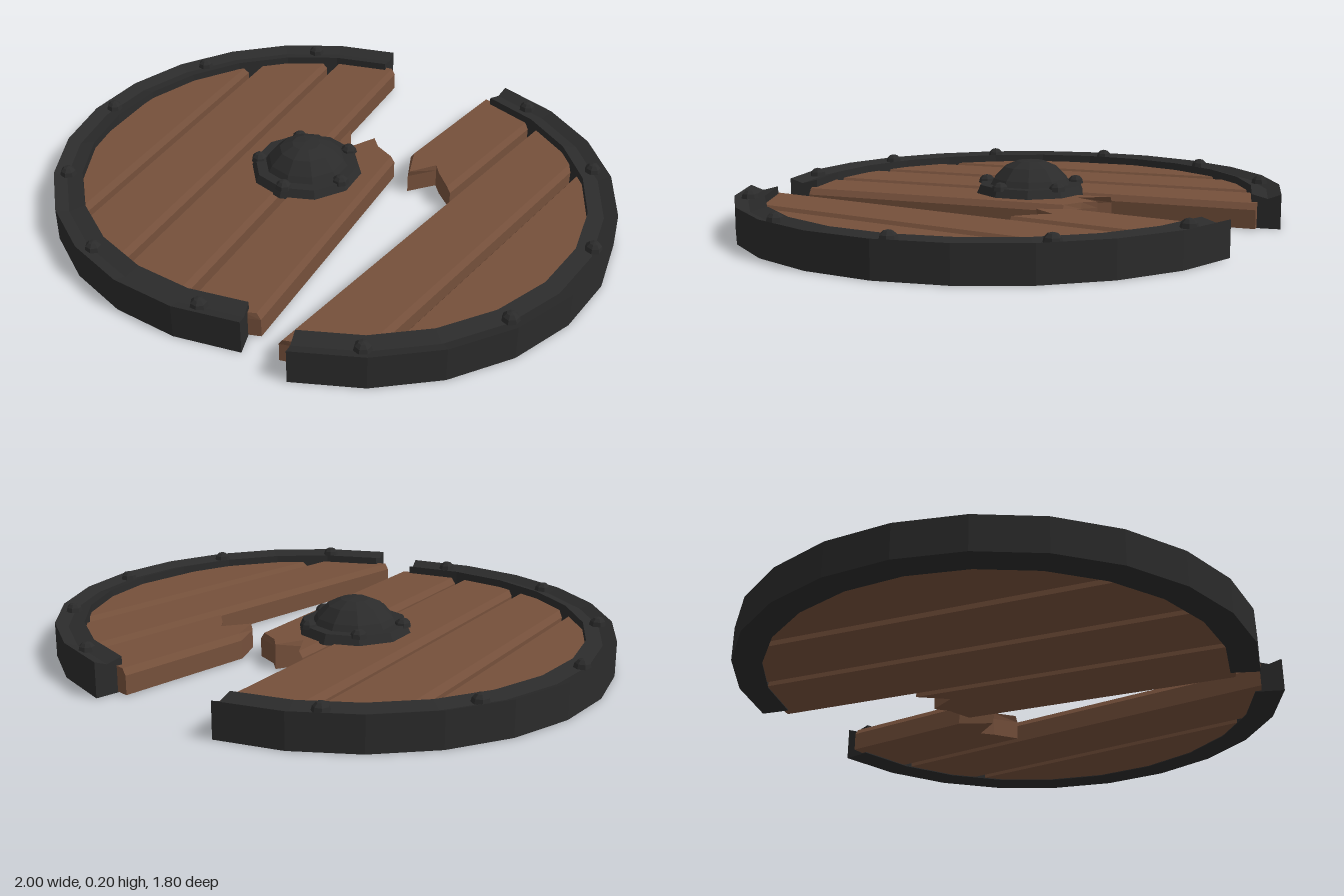
import * as THREE from 'three';

const metal = new THREE.MeshStandardMaterial({ color: 0x2b2b2b, side: THREE.DoubleSide });
metal.name = 'dark iron';
const wood = new THREE.MeshStandardMaterial({ color: 0x75503b });
wood.name = 'brown wood';

const RIM_OUT = 0.89, RIM_MID = 0.845, RIM_IN = 0.79, RIM_TOP = 0.12;
const WOOD_R = 0.81, WOOD_TOP = 0.09;
const rad = THREE.MathUtils.degToRad;

function add(parent, name, geometry, material) {
  const flat = geometry.index ? geometry.toNonIndexed() : geometry;
  flat.computeVertexNormals();
  const mesh = new THREE.Mesh(flat, material);
  mesh.name = name;
  parent.add(mesh);
  return mesh;
}

// Points of the round plank end between two x positions; side -1 is the back
function roundEnd(x0, x1, side) {
  return Array.from({ length: 6 }, (_, i) => {
    const x = THREE.MathUtils.lerp(x0, x1, i / 5);
    return [x, side * Math.sqrt(WOOD_R ** 2 - x * x)];
  });
}

// Plank from its back and front ends (both listed left to right), with chamfered long edges
function plank(parent, name, x0, x1, back, front) {
  const outline = [...back, ...[...front].reverse()];
  const shape = new THREE.Shape(outline.map(([x, z]) => new THREE.Vector2(x, -z)));
  const g = new THREE.ExtrudeGeometry(shape, { depth: WOOD_TOP, steps: 2, bevelEnabled: false });
  g.rotateX(-Math.PI / 2);
  const p = g.attributes.position, mid = (x0 + x1) / 2;
  for (let i = 0; i < p.count; i++) {
    const y = p.getY(i);
    if (y > WOOD_TOP * 0.9) p.setX(i, mid + (p.getX(i) - mid) * 0.88);
    else if (y > WOOD_TOP * 0.3) p.setY(i, 0.068);
    else p.setY(i, 0.003);
  }
  add(parent, name, g, wood);
}

function rivet(parent, radius, angle, y) {
  const g = new THREE.SphereGeometry(0.03, 7, 3, 0, Math.PI * 2, 0, Math.PI / 2);
  const m = add(parent, 'rivet', g, metal);
  m.position.set(radius * Math.cos(angle), y, -radius * Math.sin(angle));
}

// Grooved iron rim over an arc; angles in degrees, counterclockwise from +x seen from above
function rim(parent, from, to, segments, rivetAngles) {
  const profile = [[RIM_IN, 0], [RIM_OUT, 0], [RIM_OUT, RIM_TOP], [RIM_MID, 0.103], [RIM_IN, 0.117]]
    .map(([r, y]) => new THREE.Vector2(r, y));
  const arc = new THREE.LatheGeometry([...profile, profile[0]], segments, rad(from + 90), rad(to - from));
  add(parent, 'rim', arc, metal);
  for (const a of [from, to]) {
    add(parent, 'rimEnd', new THREE.ShapeGeometry(new THREE.Shape(profile)).rotateY(rad(a)), metal);
  }
  for (const a of rivetAngles) rivet(parent, RIM_MID - 0.005, rad(a), 0.11);
}

export function createModel() {
  const model = new THREE.Group();
  model.name = 'brokenRoundShield';

  // Larger half, holding the boss
  const left = new THREE.Group();
  left.name = 'largeHalf';
  left.position.set(-0.11, 0, -0.015);
  for (const [x0, x1] of [[-0.79, -0.56], [-0.53, -0.29], [-0.26, -0.02]]) {
    plank(left, 'plank', x0, x1, roundEnd(x0, x1, -1), roundEnd(x0, x1, 1));
  }
  const splitLeft = [[0.01, -0.31], [0.07, -0.205], [0.13, -0.295], [0.17, -0.25], [0.25, -0.21]];
  plank(left, 'brokenPlank', 0.01, 0.25, splitLeft, roundEnd(0.01, 0.25, 1));
  rim(left, 94, 285, 13, [115, 147, 179, 211, 243, 275]);

  // Boss: flange, faceted dome and five rivets
  const boss = new THREE.Group();
  boss.name = 'boss';
  const flange = add(boss, 'bossFlange', new THREE.CylinderGeometry(0.185, 0.2, 0.035, 10), metal);
  flange.position.y = 0.102;
  const dome = [[0.15, 0.115], [0.135, 0.14], [0.095, 0.18], [0.05, 0.2], [0, 0.205]];
  add(boss, 'bossDome', new THREE.LatheGeometry(dome.map(([r, y]) => new THREE.Vector2(r, y)), 10), metal);
  for (let i = 0; i < 5; i++) rivet(boss, 0.17, rad(-90 + 72 * i), 0.112);
  left.add(boss);

  // Smaller half, turned slightly away from the split
  const right = new THREE.Group();
  right.name = 'smallHalf';
  right.position.set(0.11, 0, 0.025);
  right.rotation.y = rad(-11);
  for (const [x0, x1] of [[0.28, 0.52], [0.55, 0.79]]) {
    plank(right, 'plank', x0, x1, roundEnd(x0, x1, -1), roundEnd(x0, x1, 1));
  }
  const splitRight = [[0.01, -0.315], [0.072, -0.207], [0.132, -0.3], [0.17, -0.265], [0.25, -0.21]];
  plank(right, 'brokenPlank', 0.01, 0.25, roundEnd(0.01, 0.25, -1), splitRight);
  rim(right, -66.5, 86, 10, [76, 44, 12, -20, -52]);

  model.add(left, right);
  return model;
}
